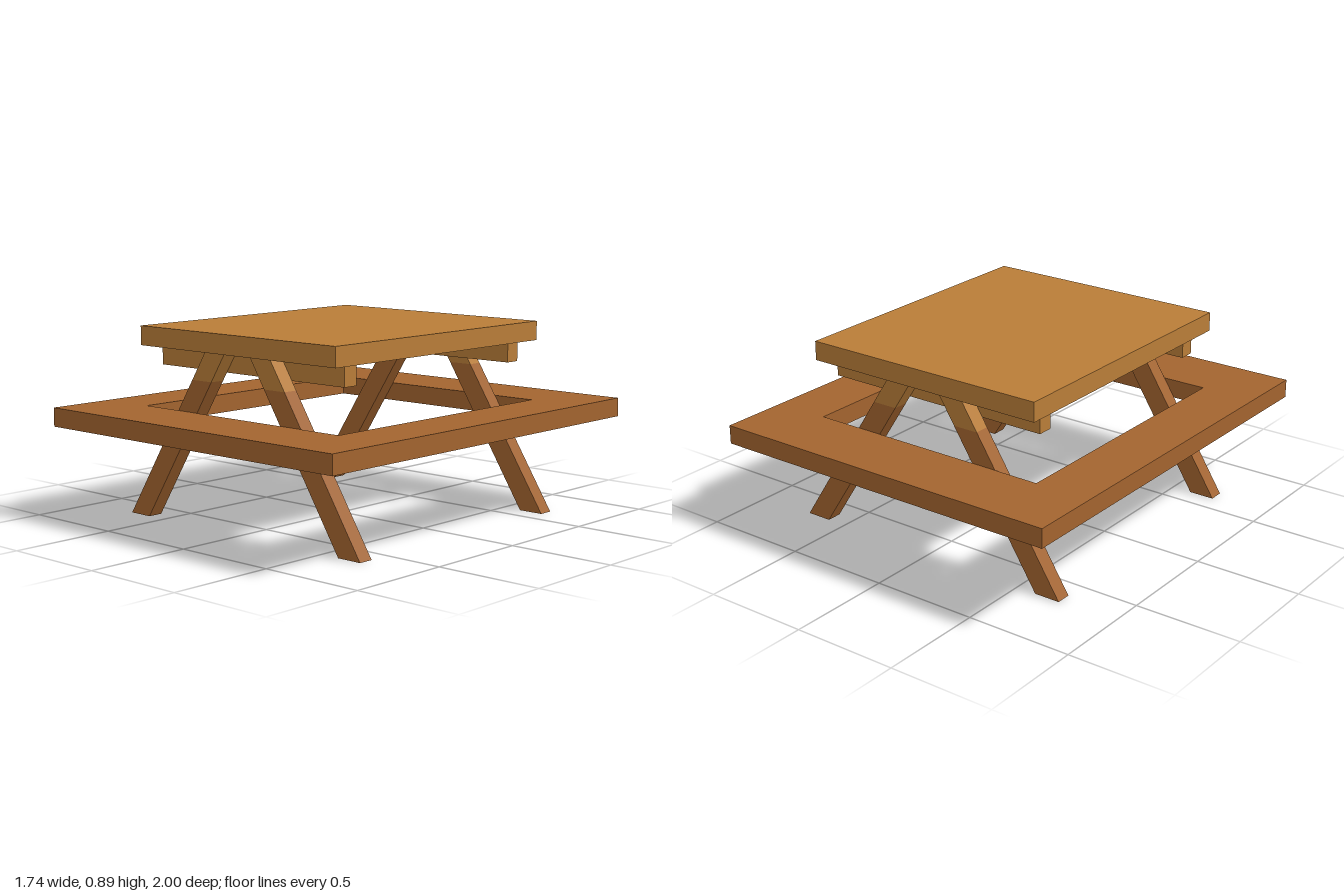
import * as THREE from 'three';

export function createModel() {
  const group = new THREE.Group();
  group.name = 'picnicTable';

  const tan = new THREE.MeshStandardMaterial({ color: 0xb97d38 });
  tan.name = 'light wood';
  const brown = new THREE.MeshStandardMaterial({ color: 0xa3642f });
  brown.name = 'dark wood';

  const add = (name, geometry, material, x = 0, y = 0, z = 0) => {
    const mesh = new THREE.Mesh(geometry, material);
    mesh.name = name;
    mesh.position.set(x, y, z);
    group.add(mesh);
  };
  const toPoints = (list) => list.map(([x, y]) => new THREE.Vector2(x, y));
  const rectangle = (w, d) => toPoints([[-w, -d], [w, -d], [w, d], [-w, d]]);
  const extrude = (shape, depth) =>
    new THREE.ExtrudeGeometry(shape, { depth, bevelEnabled: false });

  // Table top
  add('tableTop', new THREE.BoxGeometry(1.21, 0.09, 1.392), tan, 0, 0.848, 0);

  // Bench: one flat rectangular ring around the table
  const ring = new THREE.Shape(rectangle(0.868, 1));
  ring.holes.push(new THREE.Path(rectangle(0.6, 0.672)));
  add('benchRing', extrude(ring, 0.088).rotateX(-Math.PI / 2), brown, 0, 0.433, 0);

  // Splayed legs, dark below and light at the top
  const footY = 0, paintY = 0.67, topY = 0.803;
  const innerX = (y) => THREE.MathUtils.lerp(0.597, 0.079, y / topY);
  const outerX = (y) => THREE.MathUtils.lerp(0.72, 0.202, y / topY);
  const legPart = (side, y0, y1) =>
    extrude(new THREE.Shape(toPoints([
      [side * innerX(y0), y0], [side * outerX(y0), y0],
      [side * outerX(y1), y1], [side * innerX(y1), y1],
    ])), 0.072);

  for (const end of [1, -1]) {
    const endName = end > 0 ? 'front' : 'back';
    // Cross beam under the table top, just inside the legs
    add(endName + 'CrossBeam', new THREE.BoxGeometry(1.132, 0.094, 0.075), tan,
      0, 0.756, end * 0.5625);
    for (const side of [1, -1]) {
      const name = endName + (side > 0 ? 'Left' : 'Right') + 'Leg';
      const z = end * 0.636 - 0.036;
      add(name + 'Lower', legPart(side, footY, paintY), brown, 0, 0, z);
      add(name + 'Upper', legPart(side, paintY, topY), tan, 0, 0, z);
    }
  }
  return group;
}
